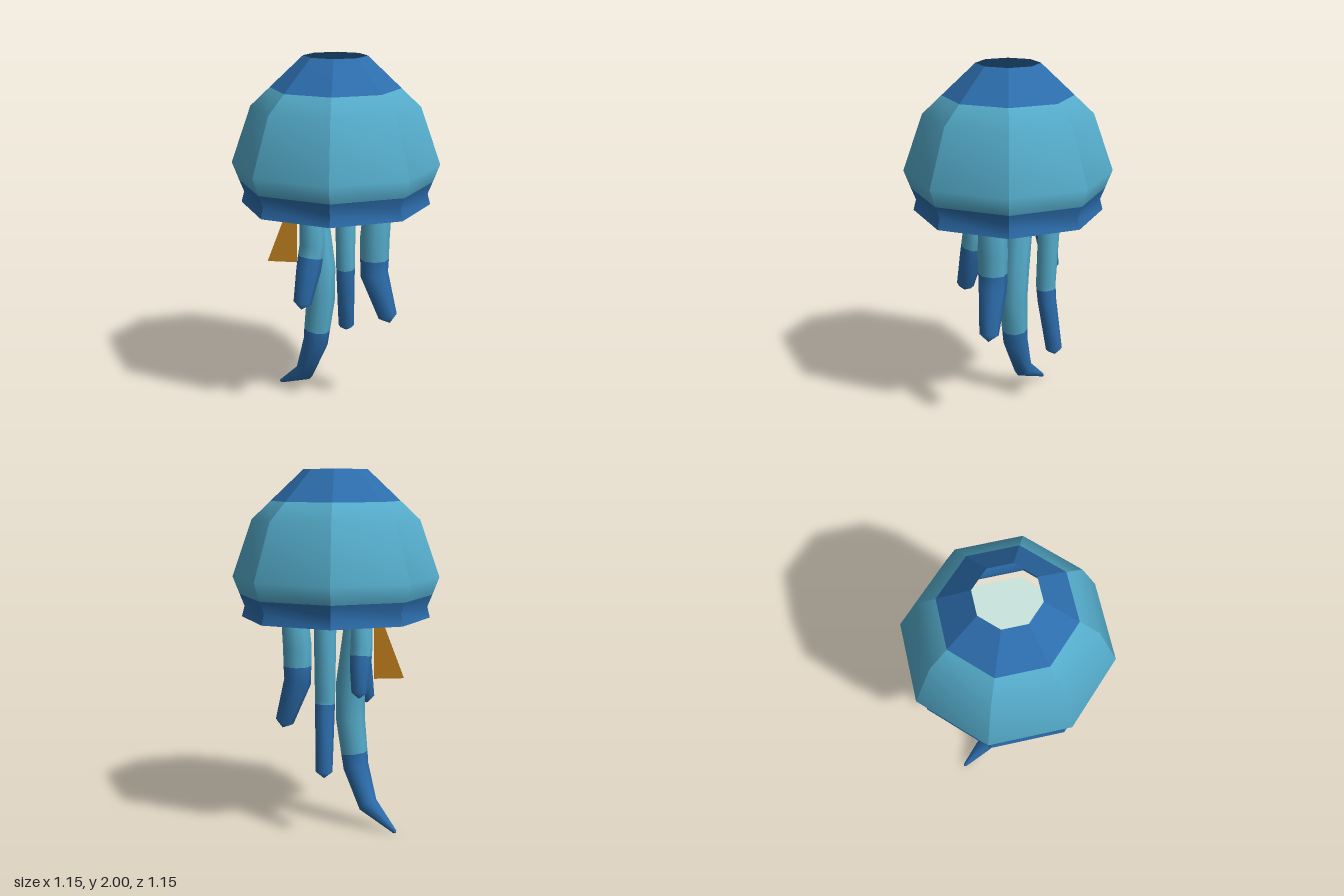
import * as THREE from 'three';

const mat = (name, color) => {
  const m = new THREE.MeshStandardMaterial({ color, side: THREE.DoubleSide });
  m.name = name;
  return m;
};

// Bent tube through (x, y, z, radius) points, closed at both ends, blue below splitY
function tentacleGeometry(points, splitY, sides = 8) {
  const rows = points.map(p => new THREE.Vector4(...p));
  // Extra ring where the colour changes
  const next = rows.findIndex(p => p.y < splitY);
  const above = rows[next - 1], below = rows[next];
  const ring = above.clone().lerp(below, (above.y - splitY) / (above.y - below.y));
  rows.splice(next, 0, ring);
  const split = next + 1;
  // Blunt ends: a flat top and a short cone along the direction of the tip
  const top = rows[0], tip = rows[rows.length - 1];
  const cone = tip.clone().sub(rows[rows.length - 2]).setW(0).setLength(tip.w * 0.75);
  rows.unshift(new THREE.Vector4(top.x, top.y + 0.01, top.z, 0));
  rows.push(tip.clone().add(cone).setW(0));

  const pos = [], index = [];
  const last = rows.length - 1;
  const centres = rows.map(p => new THREE.Vector3(p.x, p.y, p.z));
  const down = new THREE.Vector3(0, -1, 0);
  rows.forEach((p, i) => {
    const dir = centres[Math.min(i + 1, last)].clone().sub(centres[Math.max(i - 1, 0)]).normalize();
    const turn = new THREE.Quaternion().setFromUnitVectors(down, dir);
    for (let k = 0; k < sides; k++) {
      const t = (k / sides) * Math.PI * 2;
      const v = new THREE.Vector3(Math.sin(t) * p.w, 0, Math.cos(t) * p.w);
      pos.push(...v.applyQuaternion(turn).add(centres[i]).toArray());
    }
  });
  for (let i = 0; i < last; i++) {
    for (let k = 0; k < sides; k++) {
      const a = i * sides + k, b = i * sides + (k + 1) % sides;
      const c = a + sides, d = b + sides;
      index.push(c, d, a, d, b, a);
    }
  }
  const g = new THREE.BufferGeometry();
  g.setAttribute('position', new THREE.Float32BufferAttribute(pos, 3));
  g.setIndex(index);
  g.computeVertexNormals();
  g.addGroup(0, split * sides * 6, 0);
  g.addGroup(split * sides * 6, (last - split) * sides * 6, 1);
  return g;
}

export function createModel() {
  const model = new THREE.Group();
  model.name = 'jellyfish';
  const teal = mat('teal', 0x54abca);
  const blue = mat('blue', 0x2c6dac);
  const pale = mat('paleGreen', 0xcae5de);
  const orange = mat('orange', 0xbb7c1e);

  const add = (name, geometry, material, parent = model) => {
    const mesh = new THREE.Mesh(geometry, material);
    mesh.name = name;
    parent.add(mesh);
    return mesh;
  };

  // Bell: eight panels, smooth from rim to crown, with a hard edge between panels
  const bell = new THREE.Group();
  bell.name = 'bell';
  model.add(bell);
  const profile = [[0.525, 1.185], [0.51, 1.245], [0.537, 1.312], [0.575, 1.41],
    [0.465, 1.725], [0.358, 1.827], [0.175, 2]].map(p => new THREE.Vector2(...p));
  const bands = [1, 1, 0, 0, 0, 1];
  for (let i = 0; i < 8; i++) {
    const g = new THREE.LatheGeometry(profile, 1, i * Math.PI / 4, Math.PI / 4);
    g.computeVertexNormals();
    bands.forEach((m, j) => g.addGroup(j * 6, 6, m));
    add('bellPanel', g, [teal, blue], bell);
  }

  // Flat disc inside the bell, clear of its wall
  const disc = new THREE.CircleGeometry(0.42, 8).rotateX(-Math.PI / 2);
  add('innerDisc', disc, pale).position.y = 1.32;

  // Tentacles
  const addTentacle = (name, splitY, ...points) =>
    add(name, tentacleGeometry(points, splitY), [teal, blue]);

  addTentacle('frontTentacle', 0.93,
    [-0.12, 1.3, 0.19, 0.062], [-0.115, 1, 0.19, 0.07],
    [-0.135, 0.86, 0.21, 0.068], [-0.167, 0.68, 0.248, 0.05]);
  addTentacle('leftTentacle', 0.89,
    [0.245, 1.3, 0.085, 0.075], [0.222, 1, 0.085, 0.082],
    [0.222, 0.8, 0.085, 0.078], [0.3, 0.56, 0.107, 0.053]);
  addTentacle('backTentacle', 0.735,
    [0.045, 1.3, -0.235, 0.063], [0.047, 0.76, -0.212, 0.055],
    [0.048, 0.66, -0.22, 0.053], [0.05, 0.365, -0.263, 0.046]);
  addTentacle('longTentacle', 0.42,
    [-0.145, 1.3, -0.085, 0.075], [-0.085, 0.8, -0.04, 0.082], [-0.085, 0.62, -0.03, 0.082],
    [-0.118, 0.34, -0.045, 0.072], [-0.188, 0.13, -0.092, 0.055], [-0.34, 0.013, -0.215, 0.011]);
  addTentacle('shortTentacle', 1,
    [-0.155, 1.3, -0.16, 0.055], [-0.15, 1.05, -0.205, 0.06],
    [-0.146, 0.95, -0.225, 0.058], [-0.14, 0.805, -0.253, 0.042]);

  // Thin triangular fin hanging beside the tentacles
  const fin = new THREE.Shape([[-0.385, 0.84], [-0.218, 0.835], [-0.215, 1.29]].map(p => new THREE.Vector2(...p)));
  add('fin', new THREE.ShapeGeometry(fin), orange);

  return model;
}
